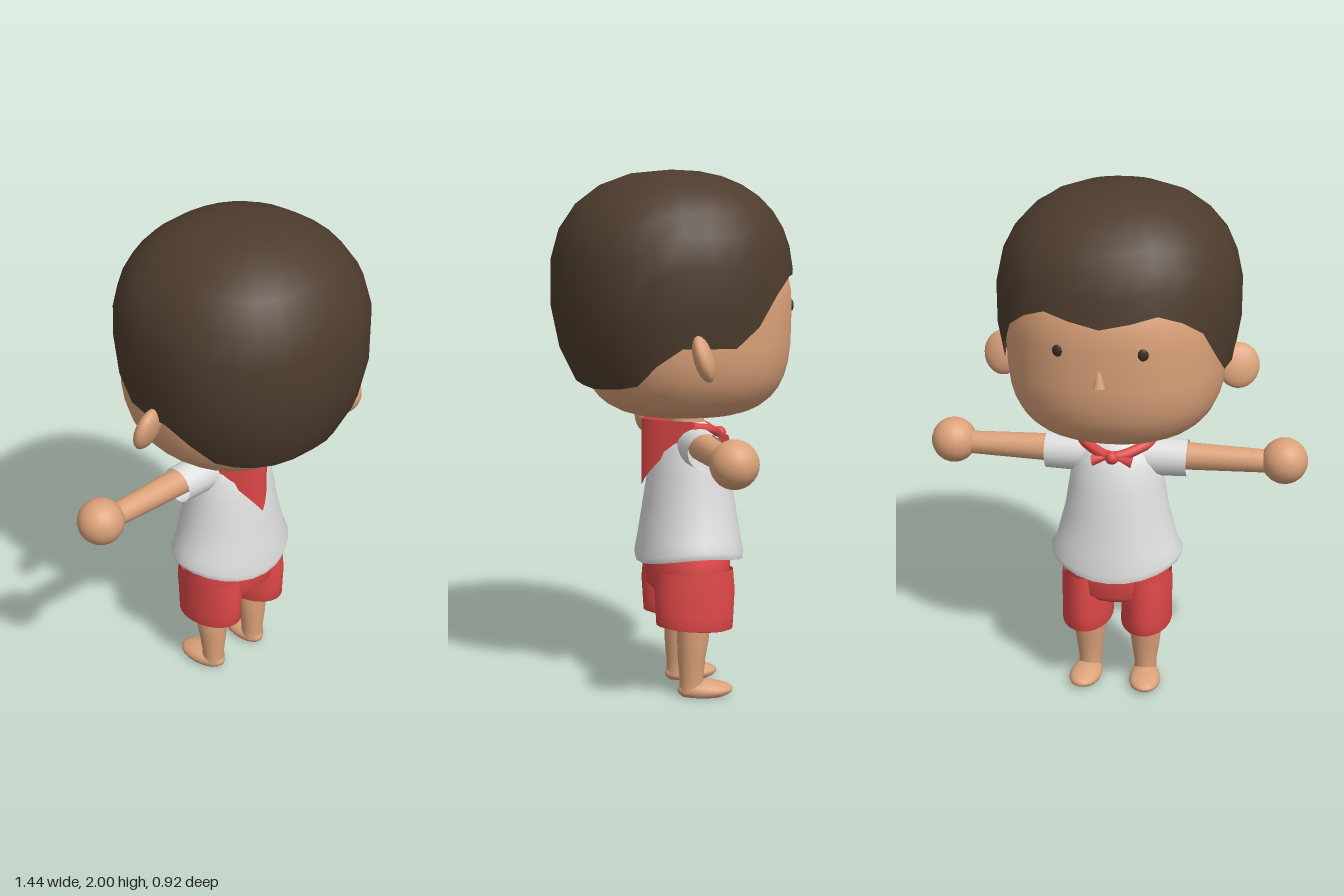
import * as THREE from 'three';
import { mergeVertices } from 'three/addons/utils/BufferGeometryUtils.js';

const material = (name, color, side = THREE.FrontSide) => {
  const m = new THREE.MeshStandardMaterial({ color, side });
  m.name = name;
  return m;
};

// Closed skin of rings, bottom to top; point(angle, t) gives a position, angle 0 is +z
function rings(n, rows, point) {
  const pos = [], index = [];
  for (let j = 0; j <= rows; j++) {
    for (let i = 0; i < n; i++) pos.push(...point((i / n) * Math.PI * 2, j / rows));
  }
  for (let j = 0; j < rows; j++) {
    for (let i = 0; i < n; i++) {
      const a = j * n + i, b = j * n + (i + 1) % n;
      index.push(a, b, b + n, a, b + n, a + n);
    }
  }
  let g = new THREE.BufferGeometry();
  g.setAttribute('position', new THREE.Float32BufferAttribute(pos, 3));
  g.setIndex(index);
  g = mergeVertices(g, 1e-5);
  g.computeVertexNormals();
  return g;
}

// Elliptic sections [y, rx, rz, z]; bend(angle, row) shifts y
function loft(sections, cx = 0, bend = () => 0, n = 24) {
  const last = sections.length - 1;
  return rings(n, last, (a, t) => {
    const k = Math.round(t * last);
    const [y, rx, rz, cz] = sections[k];
    return [cx + rx * Math.sin(a), y + bend(a, k), cz + rz * Math.cos(a)];
  });
}

const power = (v, p) => Math.sign(v) * Math.abs(v) ** p;

// Point on a rounded, slightly square dome, phi measured from the top
function domePoint(a, phi, d) {
  const c = Math.cos(phi), k = c > 0 ? d.n : d.nLow;
  const r = Math.abs(Math.sin(phi)) ** (2 / k);
  return [
    d.rx * r * power(Math.sin(a), 2 / 2.2),
    d.cy + (c > 0 ? d.top : d.low) * power(c, 2 / k),
    d.cz + d.rz * r * power(Math.cos(a), 2 / 2.2),
  ];
}

// Hairline height against angle from the nape
const hairline = [[0, 1.22], [25, 1.205], [58, 1.22], [70, 1.28], [77, 1.37],
  [112, 1.365], [134, 1.57], [154, 1.64], [180, 1.59]];
function hairEdge(a) {
  let deg = (a * 180) / Math.PI;
  if (deg > 180) deg = 360 - deg;
  let k = 1;
  while (k < hairline.length - 1 && hairline[k][0] < deg) k++;
  const [a0, y0] = hairline[k - 1], [a1, y1] = hairline[k];
  return y0 + (y1 - y0) * Math.min(1, (deg - a0) / (a1 - a0));
}

export function createModel() {
  const model = new THREE.Group();
  model.name = 'child';
  const skin = material('skin', 0xdca27a);
  const hair = material('brown hair', 0x4d3c2d, THREE.DoubleSide);
  const white = material('white cloth', 0xdedede, THREE.DoubleSide);
  const red = material('red cloth', 0xe04848, THREE.DoubleSide);
  const dark = material('eye brown', 0x3a2c22);

  const add = (name, geometry, mat, x = 0, y = 0, z = 0, parent = model) => {
    const m = new THREE.Mesh(geometry, mat);
    m.name = name;
    m.position.set(x, y, z);
    parent.add(m);
    return m;
  };

  // Head and hair
  const headDome = { rx: 0.408, rz: 0.4, cy: 1.5, cz: -0.05, top: 0.36, low: 0.42, n: 2.2, nLow: 3.4 };
  add('head', rings(32, 20, (a, t) => domePoint(a, Math.PI * (1 - t), headDome)), skin);

  const hairDome = { rx: 0.45, rz: 0.453, cy: 1.59, cz: 0, top: 0.41, low: 0.55, n: 2.3, nLow: 2.3 };
  add('hair', rings(30, 8, (a, t) => {
    const dy = hairEdge(a) - hairDome.cy;
    const c = power(dy / (dy > 0 ? hairDome.top : hairDome.low), 1.15);
    return domePoint(a, Math.acos(c) * (1 - t), hairDome);
  }), hair);

  // Nose
  const nose = add('nose', new THREE.ConeGeometry(0.022, 0.085, 8), skin, 0, 1.42, -0.445);
  nose.rotation.x = 0.12;

  add('neck', new THREE.CylinderGeometry(0.065, 0.075, 0.16, 16), skin, 0, 1.04, -0.06);

  // Shirt body with a hem that dips at front and back
  add('shirt', loft([
    [0.52, 0.25, 0.205, -0.07], [0.545, 0.258, 0.208, -0.07], [0.62, 0.238, 0.195, -0.07],
    [0.75, 0.203, 0.175, -0.07], [0.86, 0.185, 0.158, -0.07], [0.95, 0.17, 0.135, -0.07],
    [1.0, 0.15, 0.108, -0.07], [1.035, 0.115, 0.085, -0.065], [1.055, 0.07, 0.065, -0.06],
  ], 0, (a, k) => (k < 2 ? 0.045 * Math.sin(a) ** 2 : 0)), white);

  // Shorts
  add('shortsSeat', loft([
    [0.39, 0, 0, -0.065], [0.4, 0.17, 0.13, -0.065], [0.43, 0.208, 0.16, -0.065],
    [0.52, 0.203, 0.163, -0.065], [0.58, 0.19, 0.155, -0.065], [0.6, 0, 0, -0.065],
  ]), red);

  for (const s of [-1, 1]) {
    const side = s > 0 ? 'left' : 'right';

    // Ear and eye
    const ear = add(side + 'Ear', new THREE.SphereGeometry(1, 16, 12), skin, s * 0.445, 1.335, -0.015);
    ear.scale.set(0.08, 0.085, 0.035);
    ear.rotation.set(0.3, -s * 0.3, 0);
    const eye = add(side + 'Eye', new THREE.SphereGeometry(1, 8, 6), dark, s * 0.15, 1.5, -0.427);
    eye.scale.set(0.02, 0.022, 0.009);
    eye.rotation.y = -s * 0.2;

    // Sleeve, arm and hand
    const sleeve = add(side + 'Sleeve', new THREE.CylinderGeometry(0.07, 0.075, 0.17, 16, 1, true),
      white, s * 0.185, 0.973, -0.07);
    sleeve.rotation.z = -s * Math.PI / 2;
    const arm = add(side + 'Arm', new THREE.CylinderGeometry(0.042, 0.054, 0.42, 16), skin, s * 0.4, 0.983, -0.075);
    arm.rotation.z = -s * Math.PI / 2;
    add(side + 'Hand', new THREE.SphereGeometry(0.087, 20, 14), skin, s * 0.633, 0.99, -0.077);

    // Trouser leg, its hem slightly lower at the face side
    add(side + 'ShortsLeg', loft([
      [0.285, 0, 0, -0.065], [0.275, 0.09, 0.135, -0.065], [0.28, 0.1, 0.149, -0.065],
      [0.33, 0.098, 0.152, -0.065], [0.42, 0.1, 0.157, -0.065], [0.5, 0.096, 0.15, -0.065],
    ], s * 0.117, (a, k) => (k < 4 ? 0.012 * Math.cos(a) : 0)), red);

    // Lower leg and foot
    add(side + 'Leg', loft([
      [0.02, 0.046, 0.048, -0.055], [0.07, 0.044, 0.046, -0.055], [0.15, 0.055, 0.053, -0.055],
      [0.22, 0.063, 0.06, -0.06], [0.32, 0.066, 0.066, -0.065],
    ], s * 0.112), skin);
    const foot = new THREE.SphereGeometry(1, 20, 12);
    const p = foot.attributes.position;
    for (let i = 0; i < p.count; i++) {
      const z = p.getZ(i);
      p.setXYZ(i, p.getX(i) * (0.062 - 0.008 * z), Math.max(p.getY(i) * (0.038 + 0.008 * z), -0.024), z * 0.108);
    }
    foot.computeVertexNormals();
    add(side + 'Foot', foot, skin, s * 0.118, 0.024, -0.108).rotation.y = -s * 0.1;
  }

  // Neckerchief: folded triangle over the back
  const cloth = new THREE.PlaneGeometry(2, 1, 16, 5);
  const c = cloth.attributes.position;
  for (let i = 0; i < c.count; i++) {
    const u = c.getX(i), v = 0.5 - c.getY(i), w = Math.abs(u);
    c.setXYZ(i, 0.155 * u, 1.07 - v * (0.04 + 0.215 * (1 - w)), 0.115 - 0.17 * w ** 1.5);
  }
  cloth.computeVertexNormals();
  add('neckerchief', cloth, red);

  // Rolled ends that meet in a knot
  const roll = new THREE.CatmullRomCurve3([[-0.15, 1.048, -0.045], [-0.115, 1.035, -0.12], [0, 1.005, -0.178],
    [0.115, 1.035, -0.12], [0.15, 1.048, -0.045]].map((q) => new THREE.Vector3(...q)));
  add('neckerchiefRoll', new THREE.TubeGeometry(roll, 24, 0.02, 8), red);
  add('knot', new THREE.SphereGeometry(0.025, 10, 8), red, 0, 1.005, -0.192);
  for (const s of [-1, 1]) {
    const tail = add('knotTail', new THREE.ConeGeometry(0.022, 0.07, 8), red, s * 0.04, 0.998, -0.19);
    tail.rotation.z = s * 1.35;
  }
  return model;
}
